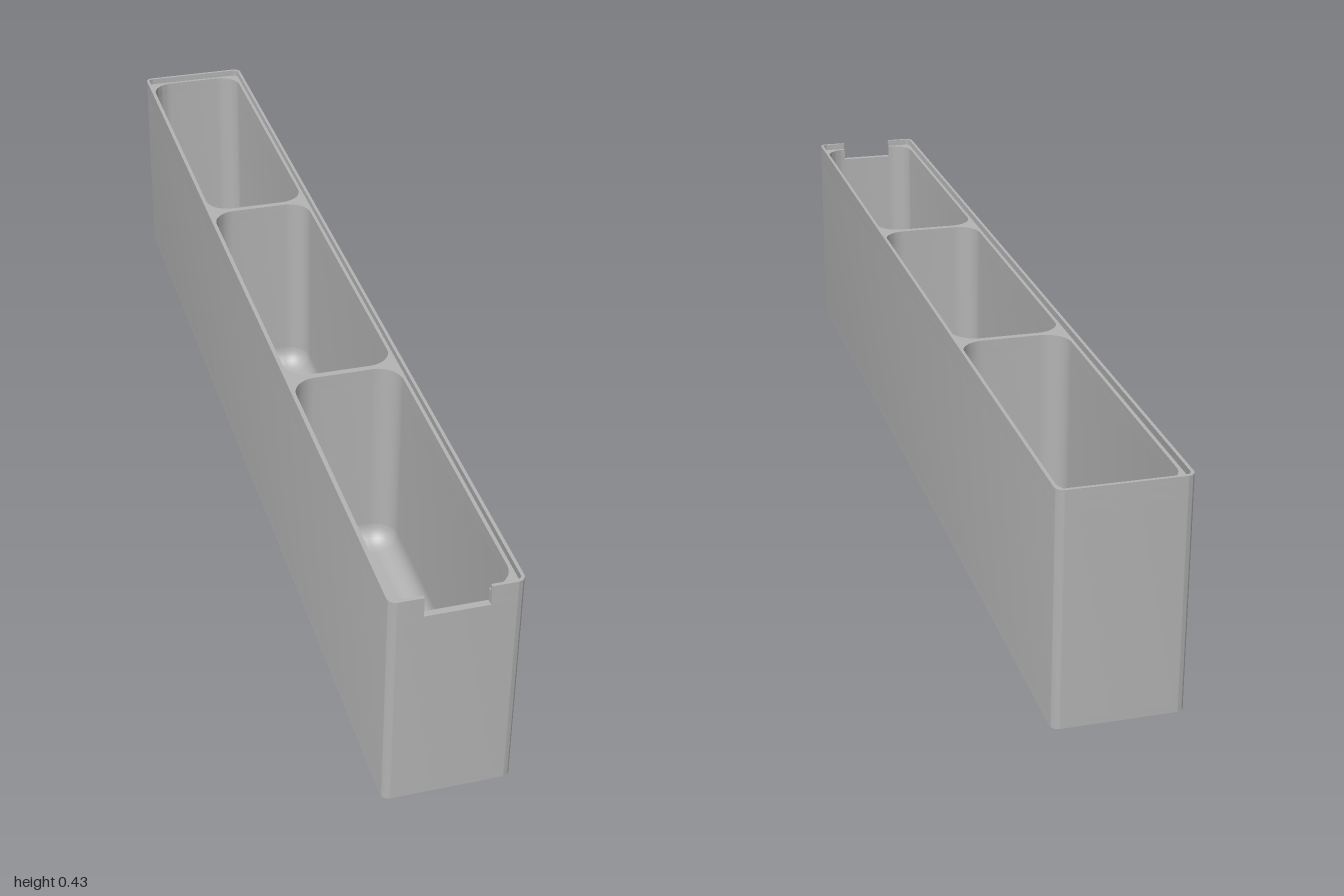
import * as THREE from 'three';
import { toCreasedNormals } from 'three/addons/utils/BufferGeometryUtils.js';

const HX = 0.115, HZ = 1, WALL = 0.0125, OUTER_R = 0.015;
const FLOOR = 0.0125, NOTCH_Y = 0.393, LEDGE_Y = 0.418, TOP = 0.431;
const NOTCH = 0.056;                       // half width of the front notch
const CELL_HX = HX - WALL, CELL_HZ = 0.325, CELL_R = CELL_HX - NOTCH;
const CELL_Z = [-0.6625, 0, 0.6625], FILLET = 0.04;

// Rounded rectangle, counterclockwise from its front edge; plan y is -z
function ring(z, hx, hz, r, n = 10) {
  const pts = [];
  [[1, -1], [1, 1], [-1, 1], [-1, -1]].forEach(([sx, sy], k) => {
    for (let i = 0; i <= n; i++) {
      const a = (k - 1 + i / n) * Math.PI / 2;
      pts.push(new THREE.Vector2(sx * (hx - r) + r * Math.cos(a), -z + sy * (hz - r) + r * Math.sin(a)));
    }
  });
  return pts;
}

// Plan of a wall loop left open across the front notch
function notchedShape(outer, inner) {
  const open = (pts) => {
    const v = pts[0].y;
    const all = [new THREE.Vector2(NOTCH, v), ...pts, new THREE.Vector2(-NOTCH, v)];
    return all.filter((p, i) => i === 0 || p.distanceTo(all[i - 1]) > 1e-5);
  };
  return new THREE.Shape([...open(outer), ...open(inner).reverse()]);
}

function layer(shape, y0, y1) {
  const geo = new THREE.ExtrudeGeometry(shape, { depth: y1 - y0, bevelEnabled: false });
  geo.rotateX(-Math.PI / 2);
  geo.translate(0, y0, 0);
  return toCreasedNormals(geo, 0.6);
}

// Curved transition from compartment walls to floor
function filletGeometry(z) {
  const steps = 8, pos = [], index = [];
  let count = 0;
  for (let i = 0; i <= steps; i++) {
    const a = i / steps * Math.PI / 2;
    const inset = FILLET * (1 - Math.cos(a));
    const pts = ring(z, CELL_HX - inset, CELL_HZ - inset, CELL_R - inset);
    count = pts.length;
    pts.forEach((p) => pos.push(p.x, FLOOR + FILLET * (1 - Math.sin(a)), -p.y));
  }
  for (let i = 0; i < steps; i++) {
    for (let j = 0; j < count; j++) {
      const a = i * count + j, b = i * count + (j + 1) % count;
      index.push(a, b, b + count, a, b + count, a + count);
    }
  }
  const geo = new THREE.BufferGeometry();
  geo.setAttribute('position', new THREE.Float32BufferAttribute(pos, 3));
  geo.setIndex(index);
  geo.computeVertexNormals();
  return geo;
}

export function createModel() {
  const group = new THREE.Group();
  group.name = 'compartmentBox';
  const grey = new THREE.MeshStandardMaterial({ color: 0xb3b3b3 });
  grey.name = 'grey';
  const add = (name, geo) => {
    const mesh = new THREE.Mesh(geo, grey);
    mesh.name = name;
    group.add(mesh);
  };

  const outer = ring(0, HX, HZ, OUTER_R);
  const cells = CELL_Z.map((z) => ring(z, CELL_HX, CELL_HZ, CELL_R));

  // Floor slab
  add('floor', layer(new THREE.Shape(outer), 0, FLOOR));

  // Outer walls and dividers up to the notch
  const walls = new THREE.Shape(outer);
  walls.holes = cells.map((c) => new THREE.Path(c));
  add('wallsAndDividers', layer(walls, FLOOR, NOTCH_Y));

  // Walls beside the notch, up to the lid ledge
  const upper = notchedShape(outer, cells[2]);
  upper.holes = [cells[0], cells[1]].map((c) => new THREE.Path(c));
  add('lidLedge', layer(upper, NOTCH_Y, LEDGE_Y));

  // Thin rim around the lid recess
  add('rim', layer(notchedShape(outer, ring(0, HX - 0.006, HZ - 0.006, 0.01)), LEDGE_Y, TOP));

  CELL_Z.forEach((z, i) => add('compartmentFillet' + (i + 1), filletGeometry(z)));
  return group;
}
